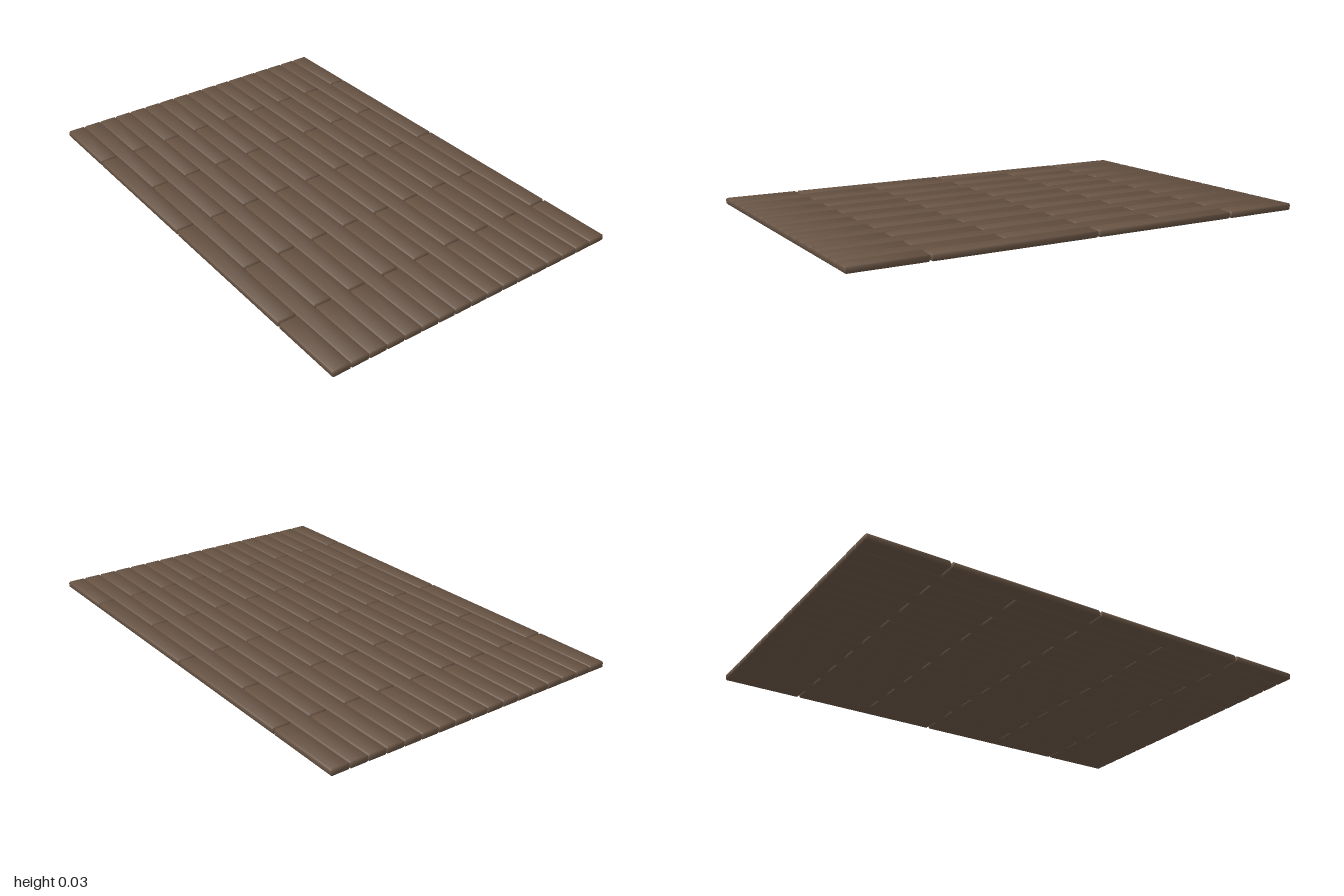
import * as THREE from 'three';

const COLUMNS = 17, WIDTH = 1.33, HEIGHT = 0.028, BEVEL = 0.006;

// Chamfered plank with soft normals that roll across its broad faces
function plankGeometry(w, h, l) {
  const geo = new THREE.BoxGeometry(1, 1, 1, 3, 3, 3);
  const pos = geo.attributes.position, nor = geo.attributes.normal;
  const half = [w / 2, h / 2, l / 2];
  const n = new THREE.Vector3();
  for (let i = 0; i < pos.count; i++) {
    const p = [pos.getX(i), pos.getY(i), pos.getZ(i)];
    // outer grid lines lie on the surface, inner ones mark the edge of the bevel
    const outer = p.map((v) => (Math.abs(v) > 0.4 ? 1 : 0));
    const share = BEVEL / (outer[0] + outer[1] + outer[2]);
    const q = p.map((v, k) => Math.sign(v) * (half[k] - BEVEL + outer[k] * share));
    n.set(...p.map((v, k) => Math.sign(v) * (outer[k] ? 1 : 0.38))).normalize();
    pos.setXYZ(i, ...q);
    nor.setXYZ(i, n.x, n.y, n.z);
  }
  return geo;
}

export function createModel() {
  const group = new THREE.Group();
  group.name = 'plankFloor';
  const wood = new THREE.MeshStandardMaterial({ color: 0x665242 });
  wood.name = 'darkWood';

  // Two staggered joint patterns alternate from column to column
  const gap = 0.004;
  const patterns = [[-1, -0.668, -0.017, 0.684, 1], [-1, -0.354, 0.346, 1]].map((joints) =>
    joints.slice(1).map((end, i) => {
      const a = joints[i] + (i > 0 ? gap / 2 : 0);
      const b = end - (end < 1 ? gap / 2 : 0);
      return { z: (a + b) / 2, geo: plankGeometry(WIDTH / COLUMNS, HEIGHT, b - a) };
    }));

  for (let c = 0; c < COLUMNS; c++) {
    const column = new THREE.Group();
    column.name = `plankColumn${c + 1}`;
    column.position.set((c - (COLUMNS - 1) / 2) * WIDTH / COLUMNS, HEIGHT / 2, 0);
    patterns[c % 2].forEach(({ z, geo }, i) => {
      const plank = new THREE.Mesh(geo, wood);
      plank.name = `plank${i + 1}`;
      plank.position.z = z;
      column.add(plank);
    });
    group.add(column);
  }
  return group;
}
